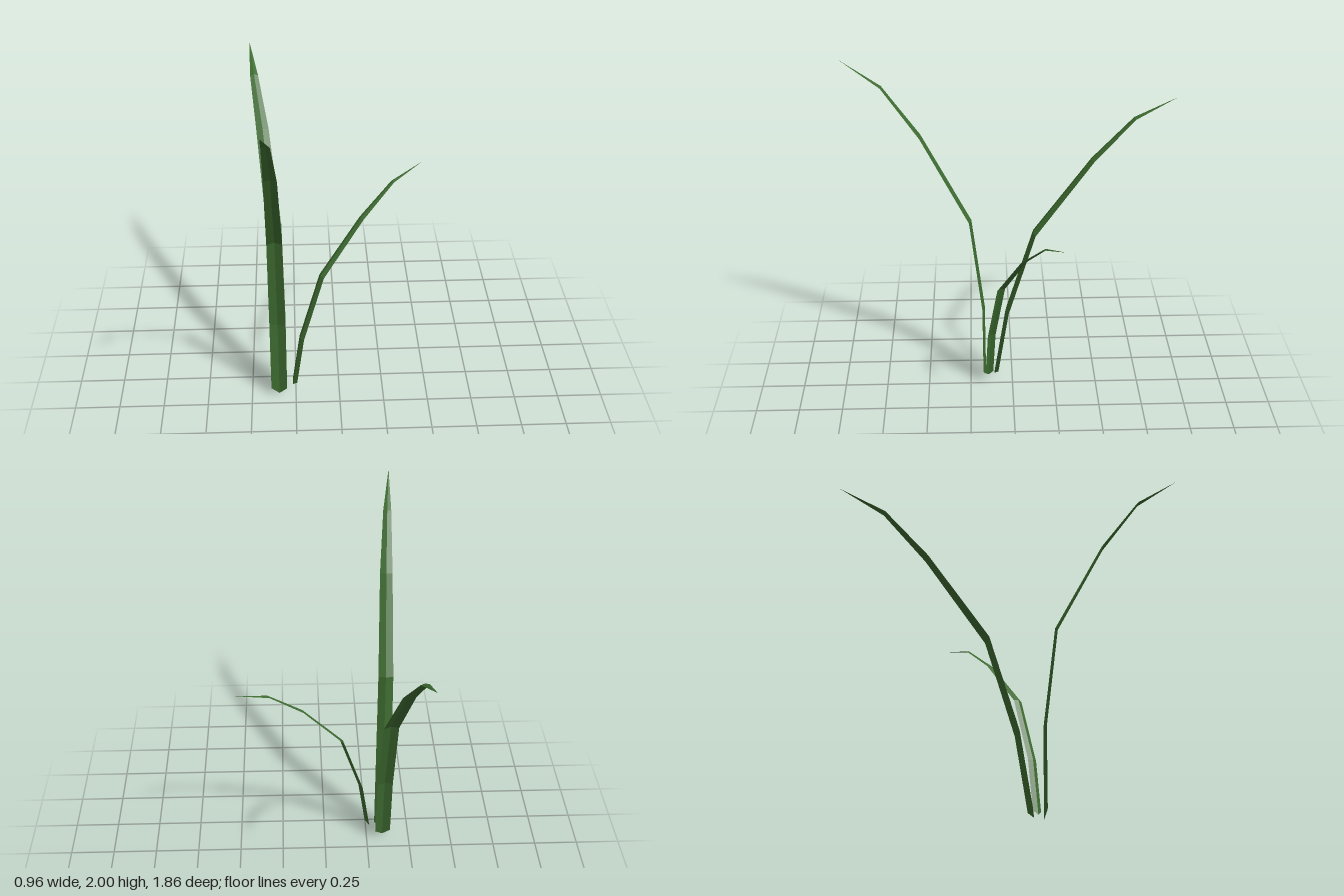
import * as THREE from 'three';

const leafMaterial = new THREE.MeshStandardMaterial({
  color: 0x3d6b30, flatShading: true, side: THREE.DoubleSide,
});

// A tapering blade, folded along its midrib.
// rows: [x, y, z, width] up the centre line; the last row is the tip.
function blade(name, rows, ridge, notch) {
  const points = rows.map(([x, y, z]) => new THREE.Vector3(x, y, z));
  const last = points.length - 1;
  const heading = points[last].clone().sub(points[0]).setY(0).normalize();
  const across = new THREE.Vector3(-heading.z, 0, heading.x);
  const positions = [], indices = [];

  points.forEach((p, i) => {
    const tangent = points[Math.min(i + 1, last)].clone()
      .sub(points[Math.max(i - 1, 0)]).normalize();
    const up = across.clone().cross(tangent).normalize();
    const width = rows[i][3];
    const lift = ridge * width / rows[0][3];
    const left = p.clone().addScaledVector(across, -width / 2).addScaledVector(up, -lift / 2);
    const mid = p.clone().addScaledVector(up, lift / 2);
    const right = p.clone().addScaledVector(across, width / 2).addScaledVector(up, -lift / 2);
    if (i === 0) mid.addScaledVector(tangent, -notch); // pointed foot
    for (const v of [left, mid, right]) positions.push(v.x, v.y, v.z);
    if (i === last) return;
    const a = i * 3;
    for (const k of [a, a + 1]) {
      indices.push(k, k + 1, k + 3);
      if (i < last - 1) indices.push(k + 1, k + 4, k + 3);
      else indices[indices.length - 1] = a + 4; // close onto the tip
    }
  });

  const geometry = new THREE.BufferGeometry();
  geometry.setAttribute('position', new THREE.Float32BufferAttribute(positions, 3));
  geometry.setIndex(indices);
  geometry.computeVertexNormals();
  const mesh = new THREE.Mesh(geometry, leafMaterial);
  mesh.name = name;
  return mesh;
}

export function createModel() {
  const group = new THREE.Group();
  group.name = 'grassTuft';
  group.add(
    // tall blade arching forward
    blade('frontBlade', [
      [-0.345, 0.045, 0.165, 0.09],
      [-0.345, 0.48, 0.167, 0.09],
      [-0.348, 1.05, 0.237, 0.084],
      [-0.355, 1.565, 0.503, 0.07],
      [-0.367, 1.85, 0.708, 0.045],
      [-0.386, 2.0, 0.93, 0],
    ], 0.013, 0.043),
    // blade arching backward
    blade('backBlade', [
      [-0.345, 0.048, 0.096, 0.09],
      [-0.345, 0.45, 0.033, 0.09],
      [-0.354, 0.96, -0.124, 0.085],
      [-0.408, 1.39, -0.455, 0.07],
      [-0.452, 1.62, -0.69, 0.045],
      [-0.48, 1.73, -0.93, 0],
    ], 0.013, 0.04),
    // short blade arching to the side
    blade('sideBlade', [
      [-0.258, 0.075, 0.14, 0.052],
      [-0.215, 0.36, 0.125, 0.052],
      [-0.098, 0.735, 0.07, 0.05],
      [0.128, 1.032, -0.05, 0.042],
      [0.305, 1.2, -0.155, 0.027],
      [0.48, 1.272, -0.253, 0],
    ], 0.009, 0.025),
  );
  return group;
}
